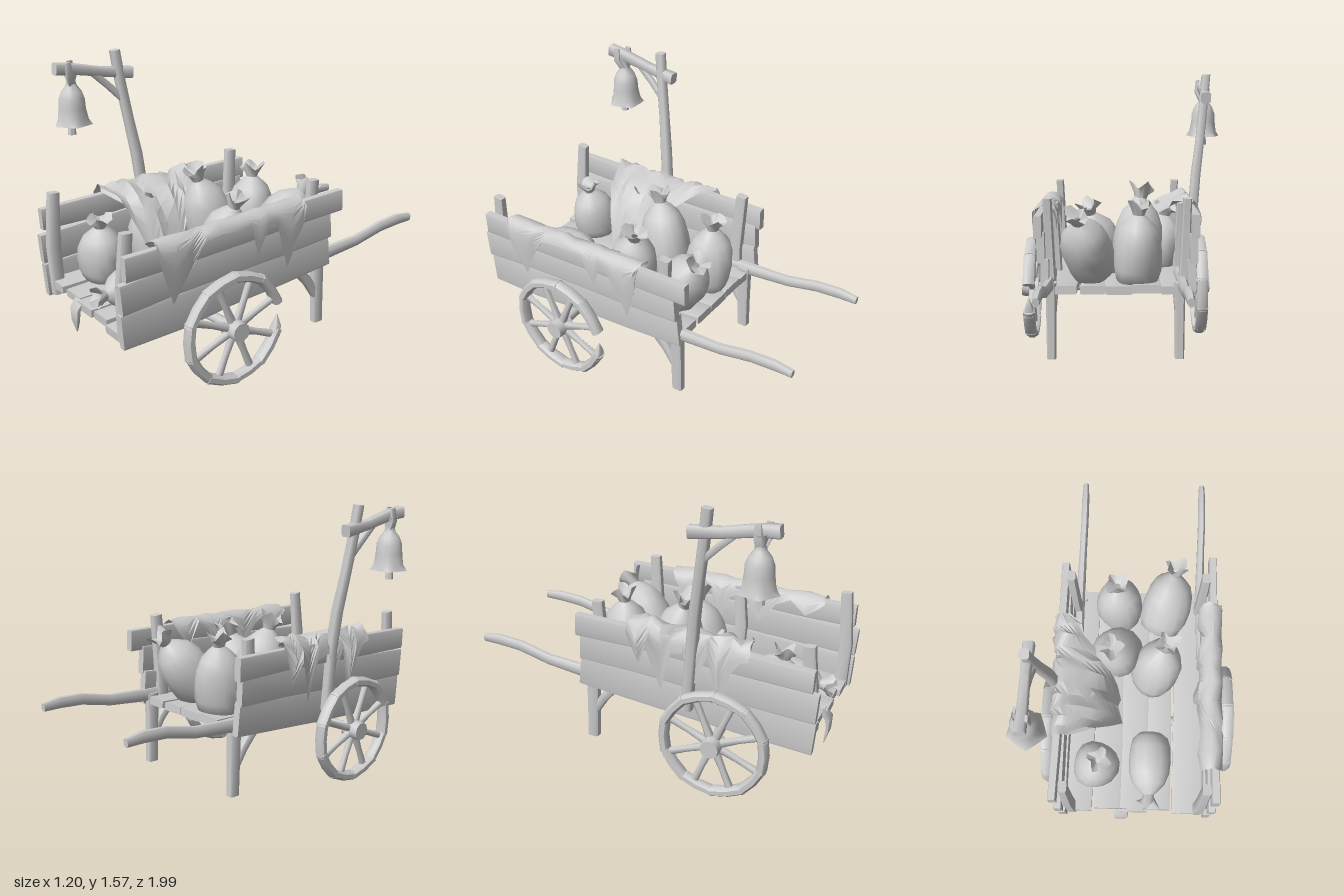
import * as THREE from 'three';
import { toCreasedNormals } from 'three/addons/utils/BufferGeometryUtils.js';

const grey = new THREE.MeshStandardMaterial({ color: 0xcccccc });
const thin = new THREE.MeshStandardMaterial({ color: 0xcccccc, side: THREE.DoubleSide });

let seed = 7;
const rnd = (a) => { seed = (seed * 16807) % 2147483647; return (seed / 2147483647 * 2 - 1) * a; };

function add(parent, name, geo, mat = grey, crease = 0.85) {
  const m = new THREE.Mesh(toCreasedNormals(geo, crease), mat);
  m.name = name;
  parent.add(m);
  return m;
}

// Grid of points (rows of equal length) to an indexed surface
function gridGeometry(rows, closed) {
  const n = rows[0].length, pos = rows.flat(2), idx = [];
  for (let i = 0; i < rows.length - 1; i++)
    for (let j = 0; j < (closed ? n : n - 1); j++) {
      const a = i * n + j, b = i * n + (j + 1) % n;
      idx.push(a, b, b + n, a, b + n, a + n);
    }
  if (closed) {
    const e = (rows.length - 1) * n;
    for (let j = 1; j < n - 1; j++) idx.push(0, j + 1, j, e, e + j, e + j + 1);
  }
  const g = new THREE.BufferGeometry();
  g.setAttribute('position', new THREE.Float32BufferAttribute(pos, 3));
  g.setIndex(idx);
  g.computeVertexNormals();
  return g;
}

// Chamfered timber along points [x, y, z, scale]; w is its size in x, h across the path
function beam(parent, name, pts, w, h, c = 0.7) {
  const P = pts.map((p) => new THREE.Vector3(p[0], p[1], p[2]));
  const sec = [[1, c], [c, 1], [-c, 1], [-1, c], [-1, -c], [-c, -1], [c, -1], [1, -c]];
  const X = new THREE.Vector3(1, 0, 0);
  const rows = P.map((p, i) => {
    const t = P[Math.min(i + 1, P.length - 1)].clone().sub(P[Math.max(i - 1, 0)]);
    const v = t.cross(X).normalize(), s = pts[i][3] ?? 1;
    return sec.map(([a, b]) => p.clone().addScaledVector(X, a * w * s / 2).addScaledVector(v, b * h * s / 2).toArray());
  });
  return add(parent, name, gridGeometry(rows, true));
}

// Board with slightly uneven middle points
function plank(parent, name, a, b, w, h) {
  const pts = [0, 0.25, 0.5, 0.75, 1].map((t) =>
    a.map((v, k) => v + (b[k] - v) * t + (k < 2 ? rnd(0.005) : 0)).concat(1 + rnd(0.04)));
  beam(parent, name, pts, w, h, 0.85);
}

// Tied sack: full lathe body, lumpy, with a ruffled mouth
function sack(parent, name, base, r, h, rx, rz, k = 0) {
  const prof = [[0, 0], [0.55, 0], [0.86, 0.07], [0.98, 0.2], [1.01, 0.4], [0.95, 0.56], [0.76, 0.7], [0.45, 0.79],
    [0.24, 0.84], [0.3, 0.89], [0.46, 0.98], [0.12, 0.9]];
  const g = new THREE.LatheGeometry(prof.map(([a, b]) => new THREE.Vector2(a * r, b * h)), 15);
  const p = g.attributes.position;
  for (let i = 0; i < p.count; i++) {
    const x = p.getX(i), y = p.getY(i), z = p.getZ(i), a = Math.atan2(z, x), mouth = y > 0.93 * h;
    const s = 1 + (mouth ? 0.28 * Math.sin(a * 4 + k) : 0.05 * Math.sin(a * 3 + k + y * 9));
    p.setXYZ(i, x * s, y + (mouth ? 0.025 * Math.sin(a * 3 + k) : 0), z * s);
  }
  const m = add(parent, name, g, thin, 1);
  m.position.set(...base);
  m.rotation.set(rx, 0, rz);
}

// Cloth hung across a path [x, y]; each row is [z, start, end] along the path
function drape(parent, name, path, rows, zMid, wrinkle) {
  const curve = new THREE.CatmullRomCurve3(path.map(([x, y]) => new THREE.Vector3(x, y, 0)));
  const N = 12;
  const pts = rows.map(([z, t0, t1], i) => Array.from({ length: N + 1 }, (_, j) => {
    const q = curve.getPoint(t0 + (t1 - t0) * j / N);
    const f = wrinkle * Math.sin(i * 2.1 + j * 0.5);
    return [q.x + f * 0.6, q.y + f + (zMid - z) * 0.05, z + rnd(0.006)];
  }));
  add(parent, name, gridGeometry(pts, false), thin, 0.8);
}

// Spoked wheel in the yz plane; gap removes part of the rim
function wheel(parent, name, x, z, gap) {
  const g = new THREE.Group();
  g.name = name;
  g.position.set(x, 0.31, z);
  parent.add(g);
  const N = 10, R = 0.282, spokes = 8;
  const ring = (a, r, s = 1) => [0, Math.sin(a) * r, Math.cos(a) * r, s];
  for (let i = 0; i < N; i++) {
    const a0 = (i + 0.5) / N * Math.PI * 2, step = Math.PI * 2 / N;
    if (!gap || i !== 4)
      beam(g, 'rimSegment', [ring(a0 - 0.04, R), ring(a0 + step / 2, R * 0.975), ring(a0 + step + 0.04, R)],
        0.062 + (i % 2) * 0.004, 0.05, 0.5);
  }
  for (let i = 0; i < spokes; i++) {
    const a = (i + 0.5) / spokes * Math.PI * 2;
    beam(g, 'spoke', [ring(a, 0.03, 1.15), ring(a, 0.15, 0.85), ring(a, 0.265)], 0.034, 0.038, 0.5);
  }
  // splintered rim end
  if (gap) beam(g, 'brokenRimEnd', [[0, -0.11, -0.255], [0, -0.06, -0.27, 0.8], [0, 0, -0.275, 0.1]], 0.06, 0.05);
  const hub = add(g, 'hub', new THREE.CylinderGeometry(0.05, 0.06, 0.1, 10));
  hub.rotation.z = -Math.PI / 2 * Math.sign(x);
  hub.position.x = Math.sign(x) * 0.012;
}

export function createModel() {
  const cart = new THREE.Group();
  cart.name = 'handcart';

  // Floor boards, rising to the rear
  [[-0.285, 0.165, 0.395], [-0.125, 0.15, 0.387], [0.025, 0.145, 0.382], [0.163, 0.13, 0.375], [0.325, 0.165, 0.357]]
    .forEach(([x, w, y], i) => plank(cart, 'floorBoard', [x, y, 0.95 - (i % 2) * 0.015],
      [x, 0.465, -0.33], w, 0.045));
  beam(cart, 'splinteredBoardEnd', [[-0.05, 0.4, 0.93], [-0.045, 0.36, 0.965], [-0.05, 0.29, 0.965, 0.8],
    [-0.07, 0.22, 0.95, 0.15]], 0.08, 0.025);

  // Side walls: three leaning boards, inner posts, handles and legs on both sides
  [[-1, -0.365, -0.31, -0.3, -0.35], [1, 0.425, 0.395, 0.38, -0.4]].forEach(([s, wx, hx, lx, zEnd]) => {
    [[0.412, 0.53, 0.185, 0.97, -0.34], [0.59, 0.685, 0.16, 0.98, -0.33], [0.742, 0.81, 0.12, 0.96, zEnd]]
      .forEach(([y0, y1, h, z0, z1], i) => plank(cart, 'sideBoard',
        [wx + s * 0.016 * i, y0, z0], [wx + s * 0.012 * i - s * 0.01, y1, z1], 0.042, h));
    [[0.92, 0.34, 0.9], [0.3, 0.4, 0.84], [-0.23, 0.44, 0.94]].forEach(([z, y0, y1]) =>
      beam(cart, 'wallPost', [[wx - s * 0.045, y0, z], [wx - s * 0.035, 0.6, z + 0.01, 1.06],
        [wx - s * 0.025, y1, z - 0.01, 0.9]], 0.05, 0.065));
    beam(cart, 'handle', [[hx, 0.47, 0.1], [hx - 0.005, 0.49, -0.33, 1.2], [hx, 0.515, -0.58], [hx + 0.005, 0.56, -0.76],
      [hx + 0.005, 0.573, -0.9], [hx + 0.005, 0.568, -1, 0.75]], 0.042, 0.058, 0.5);
    beam(cart, 'leg', [[lx, 0.09, -0.31], [lx, 0.27, -0.305, 1.05], [lx, 0.5, -0.3, 1.15]], 0.048, 0.06);
    beam(cart, 'legBrace', [[lx, 0.24, -0.3], [lx, 0.34, -0.24, 1.2], [lx, 0.45, -0.15, 1.5]], 0.04, 0.04);
  });

  // Axle and wheels
  const axle = add(cart, 'axle', new THREE.CylinderGeometry(0.027, 0.027, 1.06, 9));
  axle.rotation.set(0, 0.083, Math.PI / 2);
  axle.position.set(0.035, 0.315, 0.425);
  wheel(cart, 'rightWheel', -0.468, 0.47, false);
  wheel(cart, 'leftWheel', 0.54, 0.385, true);

  // Bell post, arm and brace
  beam(cart, 'bellPost', [[-0.41, 0.45, 0.3], [-0.415, 0.8, 0.325], [-0.43, 1, 0.345], [-0.455, 1.2, 0.375, 0.9],
    [-0.475, 1.4, 0.405, 0.9], [-0.49, 1.575, 0.425, 0.9]], 0.055, 0.058, 0.6);
  beam(cart, 'bellArm', [[-0.485, 1.445, 0.33, 1.1], [-0.49, 1.465, 0.5, 0.9], [-0.49, 1.5, 0.68], [-0.495, 1.51, 0.785, 1.1]],
    0.052, 0.058);
  beam(cart, 'armBrace', [[-0.47, 1.3, 0.39], [-0.48, 1.39, 0.48], [-0.485, 1.47, 0.57]], 0.03, 0.036);

  // Hanging bell with flared hem, tied straps and clapper
  const bell = new THREE.LatheGeometry([[0.095, 0], [0.082, 0.03], [0.073, 0.09], [0.07, 0.14], [0.055, 0.18],
    [0.032, 0.21], [0.024, 0.235], [0.04, 0.29]].map(([a, b]) => new THREE.Vector2(a, b)), 15);
  const bp = bell.attributes.position;
  for (let i = 0; i < bp.count; i++) {
    const hem = Math.max(0, 1 - bp.getY(i) / 0.05), a = Math.atan2(bp.getZ(i), bp.getX(i));
    const s = 1 + hem * 0.12 * Math.sin(a * 5);
    bp.setXYZ(i, bp.getX(i) * s, bp.getY(i), bp.getZ(i) * s);
  }
  add(cart, 'bell', bell, thin, 1).position.set(-0.5, 1.2, 0.69);
  add(cart, 'clapper', new THREE.CylinderGeometry(0.014, 0.024, 0.11, 7)).position.set(-0.5, 1.2, 0.7);
  [-1, 1].forEach((s) => beam(cart, 'bellStrap', [[-0.497 + s * 0.01, 1.41, 0.69], [-0.493 + s * 0.035, 1.47, 0.7 + s * 0.015],
    [-0.493 + s * 0.028, 1.54, 0.7 + s * 0.02, 0.8]], 0.018, 0.04));

  // Load of sacks
  sack(cart, 'frontSack', [-0.2, 0.41, 0.71], 0.125, 0.37, 0.08, -0.1, 0);
  sack(cart, 'lyingSack', [0.108, 0.485, 0.525], 0.115, 0.41, 1.62, 0, 1);
  sack(cart, 'middleSack', [-0.06, 0.46, 0.05], 0.135, 0.52, 0.24, 0.1, 2);
  sack(cart, 'tallSack', [0.105, 0.42, 0.2], 0.135, 0.47, -0.2, -0.2, 3);
  sack(cart, 'rearRightSack', [-0.07, 0.46, -0.19], 0.13, 0.46, -0.05, 0.04, 4);
  sack(cart, 'rearLeftSack', [0.155, 0.5, -0.1], 0.135, 0.46, -0.58, -0.2, 5);
  sack(cart, 'coveredSack', [-0.2, 0.42, 0.38], 0.13, 0.4, 0, 0.15, 6);

  // Torn cloth over the left wall
  drape(cart, 'leftCloth', [[0.455, 0.48], [0.475, 0.62], [0.49, 0.76], [0.485, 0.83], [0.44, 0.865], [0.375, 0.83],
    [0.365, 0.7], [0.37, 0.55]],
    [[0.79, 0.4, 0.7], [0.77, 0.24, 0.75], [0.69, 0.04, 0.8], [0.6, 0.2, 0.72], [0.52, 0.36, 0.78], [0.42, 0.4, 0.9],
      [0.32, 0.36, 0.74], [0.24, 0.34, 0.8], [0.18, 0.16, 0.95], [0.13, 0.3, 0.78], [0.07, 0.28, 0.7],
      [-0.03, 0.02, 0.85], [-0.1, 0.2, 0.75], [-0.12, 0.4, 0.68]], 0.3, 0.006);

  // Large cloth over the right wall, falling across the load
  drape(cart, 'rightCloth', [[-0.405, 0.5], [-0.42, 0.65], [-0.43, 0.8], [-0.38, 0.885], [-0.29, 0.86], [-0.19, 0.8],
    [-0.1, 0.66], [-0.04, 0.5]],
    [[-0.04, 0.3, 0.5], [0.02, 0.12, 0.58], [0.08, 0.26, 0.62], [0.15, 0.02, 0.74], [0.21, 0.22, 0.82], [0.28, 0.28, 0.92],
      [0.35, 0.1, 0.96], [0.41, 0.26, 0.9], [0.47, 0.02, 1], [0.53, 0.2, 0.84], [0.58, 0.26, 0.7], [0.63, 0.32, 0.52]],
    0.3, 0.016);
  return cart;
}
